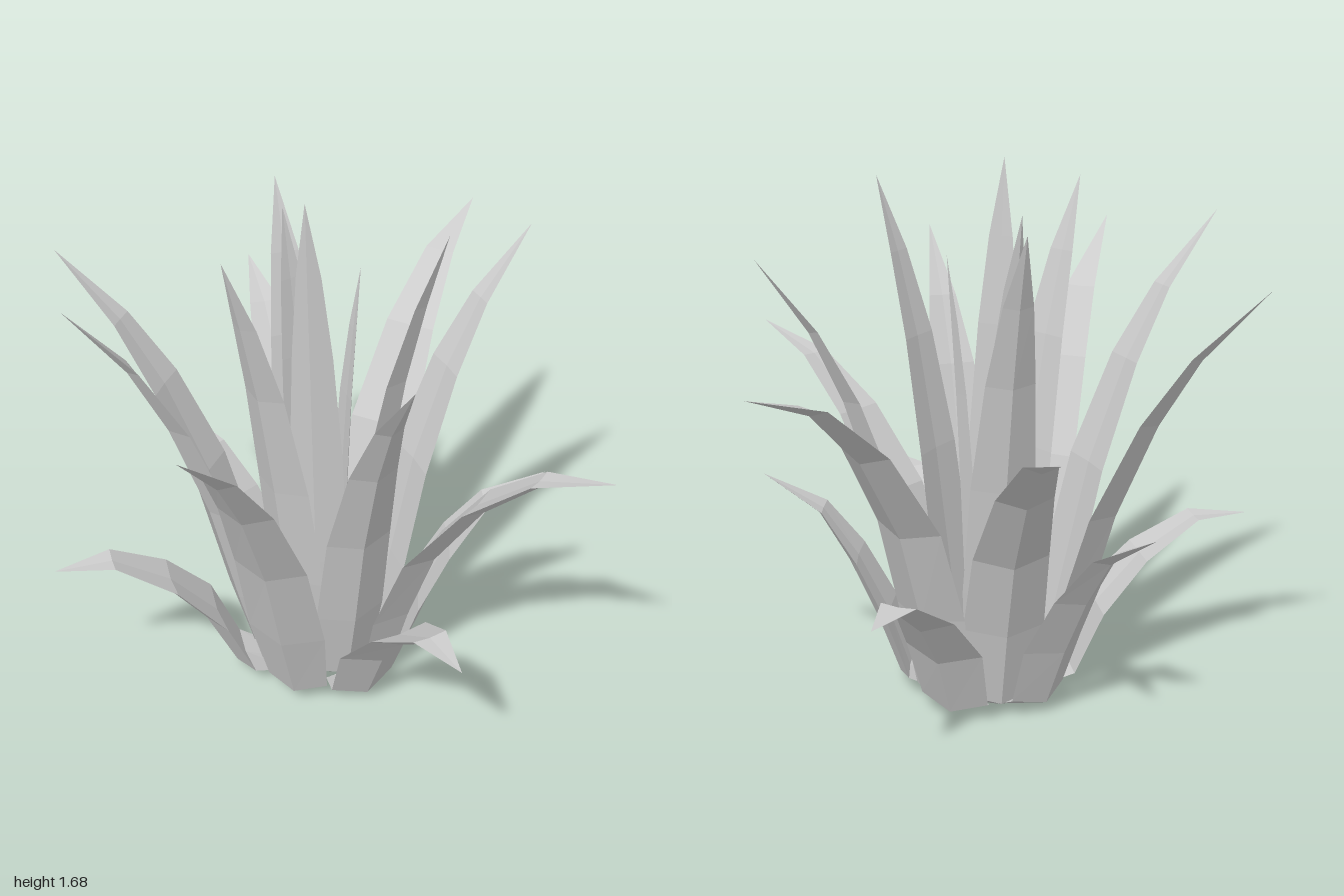
import * as THREE from 'three';

const CENTRE = { x: -0.1, z: 0.07 };

// Leaf midlines as [share of reach, share of height, half width], root to tip
const PROFILES = {
  low: [[0.16, 0, 0.065], [0.31, 0.12, 0.11], [0.41, 0.5, 0.125], [0.58, 0.8, 0.095], [0.79, 1.01, 0.055], [1, 1, 0]],
  short: [[0.19, 0, 0.065], [0.34, 0.09, 0.11], [0.43, 0.36, 0.125], [0.57, 0.63, 0.1], [0.73, 0.85, 0.06], [1, 1, 0]],
  arched: [[0.13, 0, 0.06], [0.22, 0.06, 0.1], [0.28, 0.3, 0.125], [0.38, 0.55, 0.115], [0.56, 0.78, 0.085], [0.76, 0.93, 0.05], [1, 1, 0]],
  tall: [[0.15, 0, 0.06], [0.25, 0.05, 0.1], [0.33, 0.24, 0.125], [0.44, 0.48, 0.115], [0.6, 0.7, 0.085], [0.76, 0.85, 0.05], [1, 1, 0]],
  inner: [[0.12, 0, 0.06], [0.22, 0.05, 0.09], [0.32, 0.25, 0.11], [0.45, 0.48, 0.1], [0.62, 0.7, 0.075], [0.8, 0.86, 0.045], [1, 1, 0]],
};

// Tip position, profile and width factor of every leaf
const LEAVES = [
  [-0.38, 0.53, -0.69, 'low', 1],
  [0.66, 0.53, 0.40, 'low', 1],
  [-0.59, 0.53, 0.77, 'low', 1],
  [0.44, 0.70, -0.38, 'short', 1],
  [-0.79, 0.70, 0.02, 'short', 1],
  [-0.27, 1.22, -1.0, 'arched', 1],
  [-0.835, 1.05, -0.455, 'arched', 1],
  [0.885, 1.05, 0.01, 'arched', 1],
  [0.235, 1.435, -0.55, 'tall', 0.95],
  [0.48, 1.38, 0.40, 'tall', 0.9],
  [0.2, 1.37, 1.0, 'tall', 1],
  [-0.41, 1.49, 0.78, 'tall', 0.95],
  [-0.89, 1.37, 0.365, 'tall', 1],
  [-0.11, 1.60, 0.47, 'inner', 1],
  [0.29, 1.61, -0.02, 'inner', 1],
  [-0.455, 1.54, -0.165, 'inner', 1],
  [-0.06, 1.68, 0.175, 'inner', 0.85],
  [-0.28, 1.55, 0.01, 'inner', 0.8],
  [-0.03, 1.41, -0.04, 'inner', 0.65],
];

// Keeled blade growing along +x and up, made of four-cornered sections
function bladeGeometry(reach, height, profile, widthFactor) {
  const mid = profile.map(([r, h]) => new THREE.Vector2(r * reach, h * height));
  const pos = [];
  const index = [];
  profile.forEach(([, , w], i) => {
    const half = w * widthFactor;
    const before = mid[Math.max(i - 1, 0)];
    const after = mid[Math.min(i + 1, mid.length - 1)];
    const t = after.clone().sub(before).normalize();
    // left edge, keel, right edge, channel: [offset along the upper normal, sideways]
    for (const [n, s] of [[0, 1], [-0.42, 0], [0, -1], [-0.08, 0]]) {
      pos.push(
        mid[i].x - t.y * n * half,
        Math.max(0, mid[i].y + t.x * n * half),
        s * half,
      );
    }
  });
  const last = profile.length - 1;
  for (let i = 0; i < last; i++) {
    for (let k = 0; k < 4; k++) {
      const a = i * 4 + k;
      const b = i * 4 + (k + 1) % 4;
      if (i === last - 1) {
        index.push(a, b, last * 4);
      } else {
        index.push(a, b, b + 4, a, b + 4, a + 4);
      }
    }
  }
  index.push(0, 3, 2, 0, 2, 1); // root cap
  const geo = new THREE.BufferGeometry();
  geo.setAttribute('position', new THREE.Float32BufferAttribute(pos, 3));
  geo.setIndex(index);
  const flat = geo.toNonIndexed();
  flat.computeVertexNormals();
  return flat;
}

export function createModel() {
  const plant = new THREE.Group();
  plant.name = 'spikyPlant';
  const material = new THREE.MeshStandardMaterial({
    color: 0xcccccc, flatShading: true, side: THREE.DoubleSide,
  });

  // Rosette of leaves around a common root
  LEAVES.forEach(([x, y, z, kind, width], i) => {
    const dx = x - CENTRE.x;
    const dz = z - CENTRE.z;
    const geo = bladeGeometry(Math.hypot(dx, dz), y, PROFILES[kind], width);
    const leaf = new THREE.Mesh(geo, material);
    leaf.name = `${kind}Leaf${i + 1}`;
    leaf.position.set(CENTRE.x, 0, CENTRE.z);
    leaf.rotation.y = Math.atan2(-dz, dx);
    plant.add(leaf);
  });
  return plant;
}
